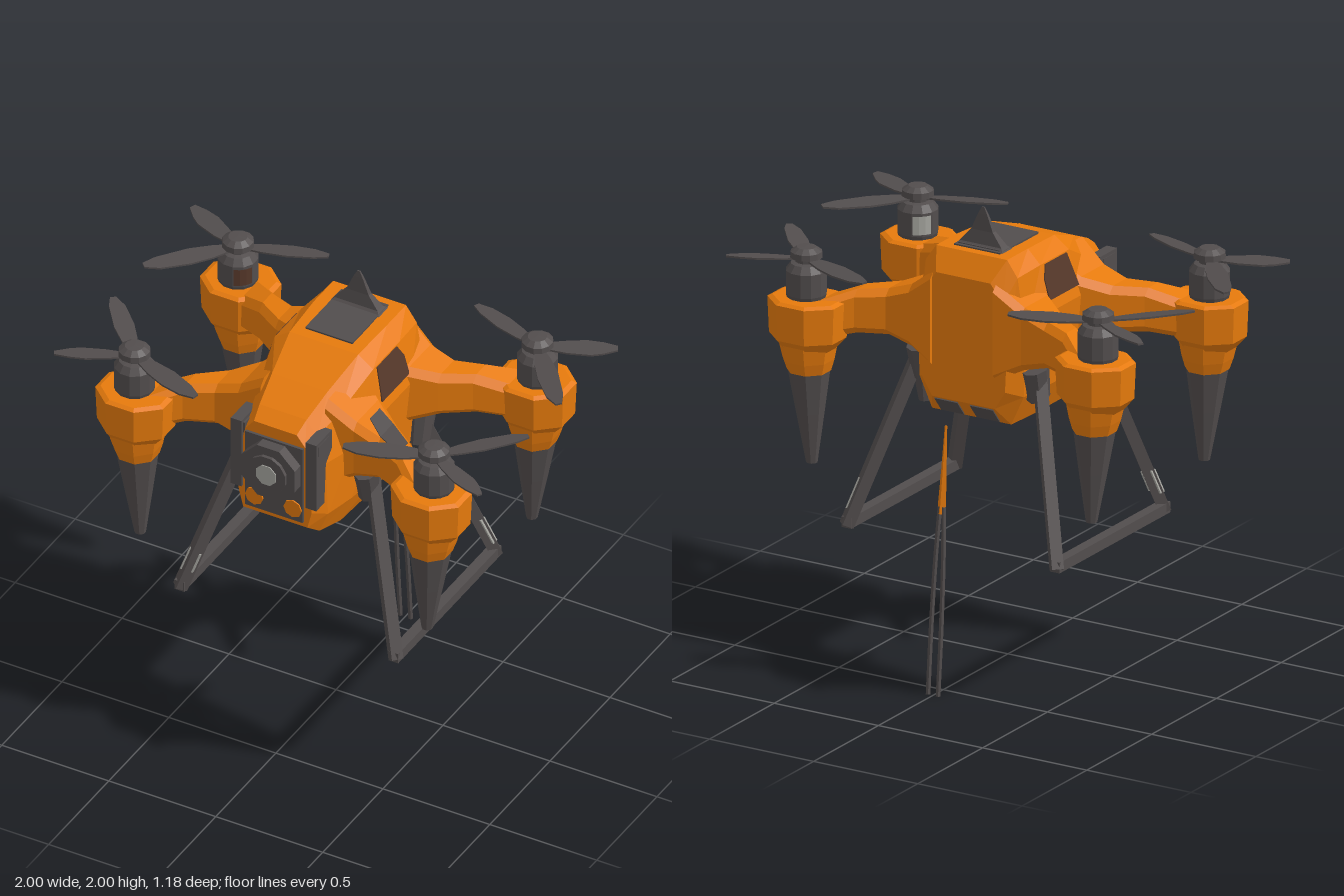
import * as THREE from 'three';

const mat = (name, color) => Object.assign(new THREE.MeshStandardMaterial({ color }), { name });

// Bakes a mirrored, faceted copy of a geometry (sx, sz are 1 or -1).
function facet(geo, sx = 1, sz = 1) {
  const g = geo.index ? geo.toNonIndexed() : geo.clone();
  g.scale(sx, 1, sz);
  if (sx * sz < 0) {
    const p = g.attributes.position, a = new THREE.Vector3(), b = new THREE.Vector3();
    for (let i = 0; i < p.count; i += 3) {
      a.fromBufferAttribute(p, i + 1);
      b.fromBufferAttribute(p, i + 2);
      p.setXYZ(i + 1, b.x, b.y, b.z);
      p.setXYZ(i + 2, a.x, a.y, a.z);
    }
  }
  g.computeVertexNormals();
  return g;
}

// Closed skin through rings of equal point count, always facing outwards.
function loft(rings) {
  const n = rings[0].length, pts = rings.flat(), tris = [];
  for (let r = 0; r < rings.length - 1; r++) {
    for (let i = 0; i < n; i++) {
      const a = r * n + i, b = r * n + (i + 1) % n;
      tris.push([a, b, b + n], [a, b + n, a + n]);
    }
  }
  const e = (rings.length - 1) * n;
  for (let i = 1; i < n - 1; i++) tris.push([0, i + 1, i], [e, e + i, e + i + 1]);
  const v = pts.map(p => new THREE.Vector3(...p)), c = v[0];
  let volume = 0;
  for (const [i, j, k] of tris) {
    volume += v[i].clone().sub(c).dot(v[j].clone().sub(c).cross(v[k].clone().sub(c)));
  }
  const g = new THREE.BufferGeometry();
  g.setAttribute('position', new THREE.Float32BufferAttribute(pts.flat(), 3));
  g.setIndex(tris.flatMap(([i, j, k]) => (volume < 0 ? [i, k, j] : [i, j, k])));
  return g;
}

// Beam of width w and depth t between two points.
function beam(a, b, w, t = w) {
  const p = new THREE.Vector3(...a), q = new THREE.Vector3(...b);
  const g = new THREE.BoxGeometry(w, t, p.distanceTo(q) + t * 0.6);
  const m = new THREE.Matrix4().lookAt(q, p, new THREE.Vector3(0, 1, 0));
  return g.applyMatrix4(m).translate((p.x + q.x) / 2, (p.y + q.y) / 2, (p.z + q.z) / 2);
}

const box = (w, h, d, x, y, z) => new THREE.BoxGeometry(w, h, d).translate(x, y, z);

// Lathe around a vertical axis at (x, z); profile runs from bottom to top.
function turned(profile, sides, x, z) {
  return new THREE.LatheGeometry(profile.map(p => new THREE.Vector2(...p)), sides, Math.PI / sides)
    .translate(x, 0, z);
}

export function createModel() {
  const orange = mat('orange', 0xe67a0c), dark = mat('charcoal', 0x524d4d);
  const brown = mat('brown glass', 0x56382a), grey = mat('lens grey', 0xa6a6a0);
  const model = new THREE.Group();
  model.name = 'drone';
  const add = (name, geo, material, sx, sz) => {
    const m = new THREE.Mesh(facet(geo, sx, sz), material);
    m.name = name;
    model.add(m);
  };

  // Body: z, then half width and height of roof, shoulder, waist, hip and floor
  const stations = [
    [-0.345, 0.13, 1.74, 0.19, 1.66, 0.21, 1.48, 0.2, 1.28, 0.15, 1.2],
    [-0.28, 0.17, 1.83, 0.22, 1.76, 0.26, 1.52, 0.25, 1.25, 0.19, 1.12],
    [-0.12, 0.17, 1.83, 0.23, 1.77, 0.285, 1.58, 0.26, 1.25, 0.2, 1.12],
    [0.1, 0.16, 1.82, 0.23, 1.77, 0.285, 1.58, 0.26, 1.25, 0.2, 1.12],
    [0.3, 0.13, 1.75, 0.19, 1.67, 0.24, 1.5, 0.24, 1.25, 0.19, 1.12],
    [0.44, 0.11, 1.69, 0.16, 1.62, 0.2, 1.5, 0.21, 1.25, 0.17, 1.15],
    [0.505, 0.1, 1.65, 0.14, 1.6, 0.165, 1.5, 0.17, 1.28, 0.15, 1.2],
  ];
  add('body', loft(stations.map(([z, ...s]) => {
    const side = [];
    for (let i = 0; i < s.length; i += 2) side.push([s[i], s[i + 1], z]);
    return [...side, ...side.slice().reverse().map(([x, y]) => [-x, y, z])];
  })), orange);
  add('roofPanel', box(0.22, 0.008, 0.3, 0, 1.832, -0.09), dark);
  add('roofLatch', box(0.2, 0.014, 0.05, 0, 1.833, -0.2), dark);
  add('bellyPanel', box(0.22, 0.008, 0.1, 0, 1.119, 0.2), brown);

  // Antenna fin on the roof
  add('antennaFin', loft([[1.82, 0.125, 0.05], [1.845, 0.1, 0.022], [1.9, 0.052, 0.011], [1.97, 0.022, 0.006], [2, 0.006, 0.003]]
    .map(([y, w, d]) => [[w, y, d - 0.19], [-w, y, d - 0.19], [-w, y, -d - 0.19], [w, y, -d - 0.19]])), dark);

  // Nose camera
  const disc = (r, depth, z, sides) => new THREE.CylinderGeometry(r, r, depth, sides, 1, false, Math.PI / sides)
    .rotateX(Math.PI / 2).translate(0, 1.46, z);
  add('nosePlate', box(0.27, 0.37, 0.02, 0, 1.41, 0.507), dark);
  add('cameraHousing', disc(0.135, 0.1, 0.515, 8), dark);
  add('cameraRing', disc(0.09, 0.02, 0.57, 12), dark);
  add('lens', disc(0.05, 0.006, 0.581, 8), grey);

  // Side windows following the slope of the shoulder
  const pane = new THREE.Shape([[0.105, 1.625], [0.075, 1.765], [-0.09, 1.765], [-0.12, 1.71], [-0.12, 1.625]]
    .map(([z, y]) => new THREE.Vector2(-z, y)));
  const windowGeo = new THREE.ExtrudeGeometry(pane, { depth: 0.008, bevelEnabled: false }).rotateY(Math.PI / 2);
  const wp = windowGeo.attributes.position;
  for (let i = 0; i < wp.count; i++) wp.setX(i, wp.getX(i) + 0.282 - (wp.getY(i) - 1.58) * 0.29);

  const hip = z => [0.29, 1.32, z], foot = z => [0.5, 0.612, z];
  for (const s of [1, -1]) {
    add('sideWindow', windowGeo, brown, s);
    add('noseRail', box(0.05, 0.33, 0.13, 0.175, 1.475, 0.455), dark, s);
    add('railClamp', box(0.06, 0.05, 0.09, 0.172, 1.6, 0.46), dark, s);
    add('nosePad', new THREE.CylinderGeometry(0.042, 0.042, 0.02, 8).rotateX(Math.PI / 2)
      .translate(0.09, 1.285, 0.513), orange, s);
    add('tailVent', new THREE.BoxGeometry(0.11, 0.085, 0.008).rotateX(-0.68).translate(0.085, 1.16, -0.314), dark, s);
    add('skid', beam(foot(0.4), foot(-0.43), 0.046), dark, s);
    add('frontLeg', beam(hip(0.21), foot(0.395), 0.05), dark, s);
    add('rearLeg', beam(hip(-0.22), foot(-0.43), 0.05), dark, s);
  }

  // Pale wear plates low on two of the legs; t runs down the leg, dx is the offset to its face
  const wearPlate = (z0, z1, t0, t1, dx, sx) => {
    const a = new THREE.Vector3(...hip(z0)), b = new THREE.Vector3(...foot(z1));
    const offset = new THREE.Vector3(dx, 0, 0);
    const [top, end] = [t0, t1].map(t => a.clone().lerp(b, t).add(offset));
    add('legWearPlate', loft([top, end].map(({ x, y, z }) => [
      [x - 0.004, y, z - 0.016], [x + 0.004, y, z - 0.016], [x + 0.004, y, z + 0.016], [x - 0.004, y, z + 0.016],
    ])), grey, sx);
  };
  wearPlate(-0.22, -0.43, 0.74, 0.92, 0.026, 1);
  wearPlate(0.21, 0.395, 0.76, 0.9, 0.026, -1);
  wearPlate(0.21, 0.395, 0.78, 0.9, -0.026, -1);

  // Arms: x, z range, y range
  const armGeo = loft([
    [0.15, 0.05, 0.36, 1.32, 1.74],
    [0.27, 0.1, 0.335, 1.38, 1.65],
    [0.38, 0.17, 0.335, 1.41, 1.61],
    [0.5, 0.25, 0.385, 1.41, 1.6],
    [0.62, 0.31, 0.48, 1.39, 1.555],
  ].map(([x, a, b, lo, hi]) => {
    const c = 0.03;
    return [[x, hi, a + c], [x, hi, b - c], [x, hi - c, b], [x, lo + c, b],
      [x, lo, b - c], [x, lo, a + c], [x, lo + c, a], [x, hi - c, a]];
  }));

  // Rotor pod, with a spike that leans slightly inwards
  const px = 0.69, pz = 0.435;
  const podGeo = turned([[0, 1.34], [0.12, 1.34], [0.165, 1.39], [0.172, 1.545], [0.15, 1.555], [0, 1.555]], 8, 0, 0)
    .scale(1, 1, 0.87).translate(px, 0, pz);
  const lean = g => {
    const p = g.attributes.position;
    for (let i = 0; i < p.count; i++) p.setX(i, p.getX(i) - (1.38 - p.getY(i)) * 0.035);
    return g;
  };
  const collarGeo = lean(turned([[0, 1.24], [0.092, 1.24], [0.108, 1.29], [0.125, 1.37]], 8, px, pz));
  const spikeGeo = lean(turned([[0, 0.84], [0.024, 0.84], [0.06, 1.06], [0.09, 1.25], [0, 1.25]], 8, px, pz));
  const motorGeo = turned([[0.08, 1.55], [0.086, 1.57], [0.086, 1.67], [0.065, 1.7], [0.045, 1.705], [0.045, 1.72],
    [0.068, 1.725], [0.066, 1.75], [0.04, 1.768], [0, 1.77]], 12, 0.7, 0.43);

  // Propeller blades, each aimed at its tip
  const blades = [[0.995, 0.575], [0.345, 0.555], [0.97, 0.125]].map(([tx, tz]) => {
    const dx = tx - 0.7, dz = tz - 0.43, L = Math.hypot(dx, dz);
    const outline = new THREE.Shape([[0.03, -0.018], [0.12, -0.038], [0.22, -0.046], [L - 0.06, -0.036], [L, -0.012],
      [L, 0.014], [L - 0.06, 0.032], [0.2, 0.042], [0.1, 0.032], [0.03, 0.018]].map(p => new THREE.Vector2(...p)));
    const g = new THREE.ExtrudeGeometry(outline, { depth: 0.008, bevelEnabled: false }).rotateX(Math.PI / 2);
    const p = g.attributes.position;
    for (let i = 0; i < p.count; i++) p.setY(i, p.getY(i) + p.getZ(i) * 0.12);
    return g.rotateY(-Math.atan2(dz, dx)).translate(0.7, 1.72, 0.43);
  });

  for (const sx of [1, -1]) {
    for (const sz of [1, -1]) {
      add('arm', armGeo, orange, sx, sz);
      add('rotorPod', podGeo, orange, sx, sz);
      add('podCollar', collarGeo, orange, sx, sz);
      add('podSpike', spikeGeo, dark, sx, sz);
      add('motor', motorGeo, dark, sx, sz);
      blades.forEach(b => add('propellerBlade', b, dark, sx, sz));
      add('legJoint', new THREE.CylinderGeometry(0.055, 0.045, 0.14, 8).scale(1, 1, 1.25)
        .rotateX(0.2).translate(0.275, 1.3, 0.22), dark, sx, sz);
    }
  }

  // Plates on the inward sides of two motors
  const motorPlate = new THREE.CylinderGeometry(0.089, 0.089, 0.08, 3, 1, true, Math.PI * 1.1, 0.9)
    .translate(0.7, 1.62, 0.43);
  add('motorPlate', motorPlate, grey, 1, 1);
  add('motorPlate', motorPlate, brown, -1, -1);

  // Dark cover on the front left arm
  add('armCover', loft([[0.3, 1.639, 0.17, 0.25], [0.38, 1.61, 0.2, 0.305], [0.49, 1.601, 0.275, 0.35]]
    .map(([x, y, a, b]) => [[x, y + 0.005, a], [x, y + 0.005, b], [x, y - 0.003, b], [x, y - 0.003, a]])), dark);

  // Forked trailing aerial
  add('aerialStem', loft([[1.14, 0.006, -0.478], [0.95, 0.013, -0.495], [0.77, 0.021, -0.513]]
    .map(([y, r, z]) => [[r, y, z], [0, y, z + r * 0.7], [-r, y, z], [0, y, z - r * 0.7]])), orange);
  for (const s of [1, -1]) {
    const path = new THREE.CatmullRomCurve3([[0.009, 0.8, -0.51], [0.018, 0.6, -0.527], [0.024, 0.3, -0.553], [0.024, 0.002, -0.578]]
      .map(p => new THREE.Vector3(...p)));
    add('aerialProng', new THREE.TubeGeometry(path, 8, 0.011, 6), dark, s);
  }
  return model;
}
